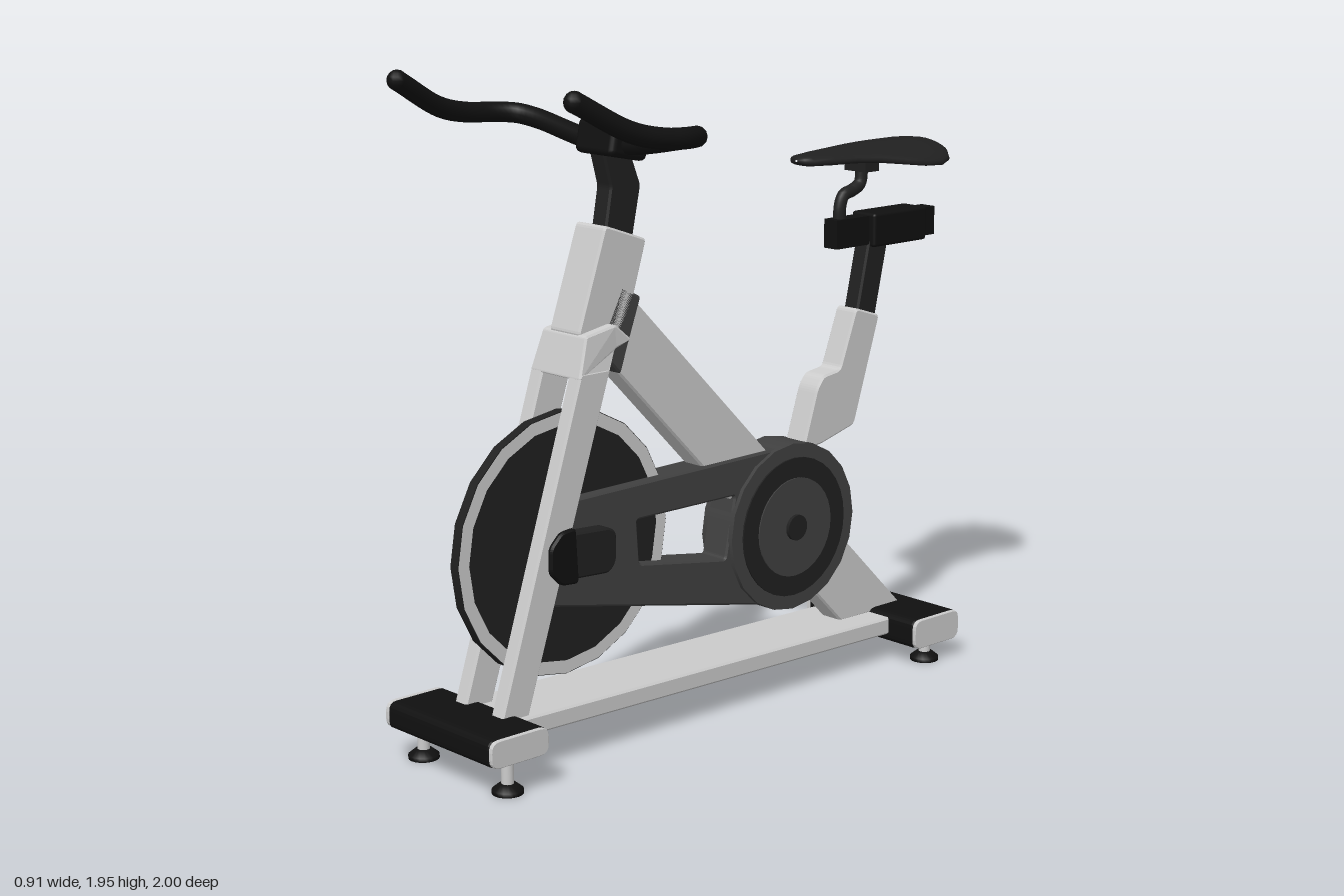
import * as THREE from 'three';
import { RoundedBoxGeometry } from 'three/addons/geometries/RoundedBoxGeometry.js';

const mat = (color) => new THREE.MeshStandardMaterial({ color });
const grey = mat(0xcccccc), black = mat(0x101010), soft = mat(0x202020), dark = mat(0x404040);

export function createModel() {
  const model = new THREE.Group();

  const add = (name, geometry, material, x = 0, y = 0, z = 0) => {
    const mesh = new THREE.Mesh(geometry, material);
    mesh.name = name;
    mesh.position.set(x, y, z);
    model.add(mesh);
    return mesh;
  };

  // Closed outline from [z, y] corners, each corner rounded by r
  const outline = (path, pts, r) => {
    const v = pts.map((p) => new THREE.Vector2(...p));
    v.forEach((p, i) => {
      const toward = (q) => p.clone().add(q.clone().sub(p).setLength(Math.min(r, q.distanceTo(p) * 0.45)));
      const a = toward(v[(i + v.length - 1) % v.length]);
      const b = toward(v[(i + 1) % v.length]);
      if (i === 0) path.moveTo(a.x, a.y); else path.lineTo(a.x, a.y);
      path.quadraticCurveTo(p.x, p.y, b.x, b.y);
    });
    path.closePath();
    return path;
  };

  // Side profile extruded across x, from -half to +half
  const profile = (pts, half, r = 0.008, hole = null) => {
    const shape = outline(new THREE.Shape(), pts, r);
    if (hole) shape.holes.push(outline(new THREE.Path(), hole, 0.01));
    const bevel = Math.min(0.006, half / 3);
    const geo = new THREE.ExtrudeGeometry(shape, {
      depth: 2 * (half - bevel), curveSegments: 4, bevelEnabled: true,
      bevelThickness: bevel, bevelSize: bevel, bevelOffset: -bevel, bevelSegments: 1,
    });
    return geo.translate(0, 0, -(half - bevel)).rotateY(-Math.PI / 2);
  };

  // Disc with its axis across x
  const disc = (name, r, half, material, y, z, sides = 32, x = 0) =>
    add(name, new THREE.CylinderGeometry(r, r, 2 * half, sides).rotateZ(Math.PI / 2), material, x, y, z);

  // Floor bars with end caps and levelling feet
  const floorBar = (name, z0, z1, y0, y1, footZ) => {
    const rect = [[z0, y0], [z1, y0], [z1, y1], [z0, y1]];
    add(name, profile(rect, 0.228, 0.025), black);
    for (const s of [-1, 1]) {
      add(name + 'Cap', profile(rect, 0.007, 0.03), grey, s * 0.233);
      add('footRod', new THREE.CylinderGeometry(0.018, 0.018, y0, 16), grey, s * 0.19, y0 / 2 + 0.01, footZ);
      const foot = [[0, 0], [0.045, 0], [0.045, 0.012], [0.025, 0.028], [0, 0.03]].map((p) => new THREE.Vector2(...p));
      add('levellingFoot', new THREE.LatheGeometry(foot, 20), black, s * 0.19, 0, footZ);
    }
  };
  floorBar('frontFloorBar', 0.795, 1.0, 0.1, 0.18, 0.905);
  floorBar('rearFloorBar', -0.915, -0.71, 0.062, 0.155, -0.81);
  add('baseBeam', profile([[0.82, 0.115], [-0.73, 0.088], [-0.73, 0.143], [0.82, 0.17]], 0.125), grey);

  // Diagonal main beam
  add('mainBeam', profile([[0.31, 1.31], [-0.86, 0.14], [-0.58, 0.14], [0.37, 1.1]], 0.04, 0.01), grey);
  add('headGusset', profile([[0.45, 1.17], [0.365, 1.085], [0.285, 1.3], [0.36, 1.34]], 0.064), dark);

  // Front fork: two legs, tapered crown and head tube
  for (const s of [-1, 1]) {
    add('forkLeg', profile([[0.86, 0.16], [0.757, 0.16], [0.44, 1.12], [0.553, 1.12]], 0.026), grey, s * 0.082);
  }
  const crown = profile([[0.56, 1.1], [0.448, 1.1], [0.41, 1.17], [0.35, 1.19], [0.41, 1.24], [0.522, 1.22]], 0.108);
  const cp = crown.attributes.position;
  for (let i = 0; i < cp.count; i++) if (cp.getY(i) > 1.14) cp.setX(i, cp.getX(i) * 0.88);
  crown.computeVertexNormals();
  add('forkCrown', crown, grey);
  add('headTube', profile([[0.525, 1.215], [0.41, 1.18], [0.35, 1.185], [0.263, 1.465], [0.42, 1.52]], 0.064, 0.015), grey);

  // Handlebar post, clamp and mirrored bar
  add('handlebarPost', profile([[0.395, 1.48], [0.29, 1.45], [0.255, 1.615], [0.3, 1.73], [0.4, 1.73], [0.37, 1.62]], 0.032), soft);
  add('handlebarClamp', new RoundedBoxGeometry(0.165, 0.1, 0.14, 2, 0.018), black, 0, 1.75, 0.335).rotation.x = -0.2;
  const half = [[0.1, 1.745, 0.345], [0.32, 1.783, 0.345], [0.385, 1.795, 0.37], [0.42, 1.8, 0.44],
    [0.424, 1.805, 0.52], [0.41, 1.83, 0.63], [0.38, 1.92, 0.8]];
  const barPoints = [...half.map(([x, y, z]) => [-x, y, z]).reverse(), [0, 1.745, 0.345], ...half]
    .map((p) => new THREE.Vector3(...p));
  add('handlebar', new THREE.TubeGeometry(new THREE.CatmullRomCurve3(barPoints), 90, 0.03, 12), black);
  for (const s of [-1, 1]) add('gripEnd', new THREE.SphereGeometry(0.03, 12, 8), black, s * 0.38, 1.92, 0.8);

  // Flywheel: dark disc with a pale ring on each face
  const wy = 0.61, wz = 0.54;
  disc('flywheel', 0.39, 0.016, soft, wy, wz, 20);
  for (const s of [-1, 1]) {
    const ring = new THREE.RingGeometry(0.35, 0.388, 20, 1).rotateZ(Math.PI / 2).rotateY(s * Math.PI / 2);
    add('flywheelRing', ring, grey, s * 0.0175, wy, wz);
  }
  disc('flywheelAxle', 0.045, 0.11, soft, 0.6, 0.62, 20);

  // Axle housings outside the fork legs
  for (const s of [-1, 1]) {
    add('axleCap', profile([[0.575, 0.52], [0.64, 0.525], [0.68, 0.565], [0.68, 0.64], [0.64, 0.68], [0.585, 0.685]], 0.034, 0.015),
      black, s * 0.087);
    add('axleArm', profile([[0.62, 0.53], [0.44, 0.52], [0.415, 0.55], [0.415, 0.635], [0.44, 0.655], [0.62, 0.665]], 0.024, 0.02),
      soft, s * 0.076);
  }

  // Belt guard with a window, and the round drive cover
  add('beltGuard', profile(
    [[0.585, 0.743], [-0.337, 0.757], [-0.45, 0.5], [-0.337, 0.25], [0.65, 0.45]], 0.052, 0.01,
    [[0.295, 0.64], [-0.1, 0.64], [-0.06, 0.45], [0.285, 0.505]]), dark);
  const dy = 0.503, dz = -0.337;
  disc('driveCover', 0.263, 0.065, dark, dy, dz, 20);
  disc('driveRing', 0.218, 0.07, soft, dy, dz);
  disc('driveDisc', 0.155, 0.074, dark, dy, dz);
  disc('crankHub', 0.04, 0.085, soft, dy, dz, 20);

  // Seat tube, post and slider
  add('seatTube', profile([[-0.4, 0.73], [-0.46, 0.915], [-0.487, 0.95], [-0.56, 0.96], [-0.63, 1.145],
    [-0.738, 1.11], [-0.63, 0.775], [-0.48, 0.735]], 0.042, 0.015), grey);
  add('seatPost', profile([[-0.64, 1.1], [-0.725, 1.08], [-0.787, 1.35], [-0.697, 1.35]], 0.03), soft);
  add('seatSlider', new THREE.BoxGeometry(0.055, 0.09, 0.445), black, 0, 1.38, -0.7775);
  add('sliderSleeve', new RoundedBoxGeometry(0.1, 0.106, 0.24, 2, 0.01), black, 0, 1.38, -0.82);

  // Bent stem below the saddle
  const stem = [[1.4, -0.595], [1.46, -0.595], [1.495, -0.61], [1.508, -0.65], [1.525, -0.682], [1.56, -0.69], [1.61, -0.69]]
    .map(([y, z]) => new THREE.Vector3(0, y, z));
  add('saddleStem', new THREE.TubeGeometry(new THREE.CatmullRomCurve3(stem), 30, 0.02, 12), soft);
  add('saddleClamp', new THREE.BoxGeometry(0.09, 0.04, 0.06), soft, 0, 1.585, -0.69);

  // Saddle: cross-sections [z, half width, centre height, half thickness], drooping at the sides
  const sections = [[-0.403, 0.004, 1.62, 0.003], [-0.41, 0.03, 1.62, 0.012], [-0.43, 0.052, 1.62, 0.017],
    [-0.5, 0.07, 1.622, 0.02], [-0.58, 0.088, 1.625, 0.021], [-0.66, 0.115, 1.628, 0.022],
    [-0.74, 0.152, 1.63, 0.022], [-0.8, 0.172, 1.631, 0.022], [-0.87, 0.178, 1.631, 0.022],
    [-0.92, 0.158, 1.63, 0.021], [-0.955, 0.118, 1.628, 0.019], [-0.975, 0.07, 1.625, 0.014], [-0.982, 0.006, 1.623, 0.003]];
  const n = 28, pos = [], idx = [];
  sections.forEach(([z, w, y, h], i) => {
    for (let j = 0; j < n; j++) {
      const t = Math.PI - (j / n) * 2 * Math.PI, x = w * Math.cos(t), s = Math.sin(t);
      pos.push(x, y - 1.35 * x * x + h * Math.sign(s) * Math.abs(s) ** 0.7, z);
      if (i === sections.length - 1) continue;
      const a = i * n + j, b = i * n + (j + 1) % n;
      idx.push(a, b, a + n, b, b + n, a + n);
    }
  });
  const saddle = new THREE.BufferGeometry();
  saddle.setAttribute('position', new THREE.Float32BufferAttribute(pos, 3));
  saddle.setIndex(idx);
  saddle.computeVertexNormals();
  add('saddle', saddle, soft);

  return model;
}
